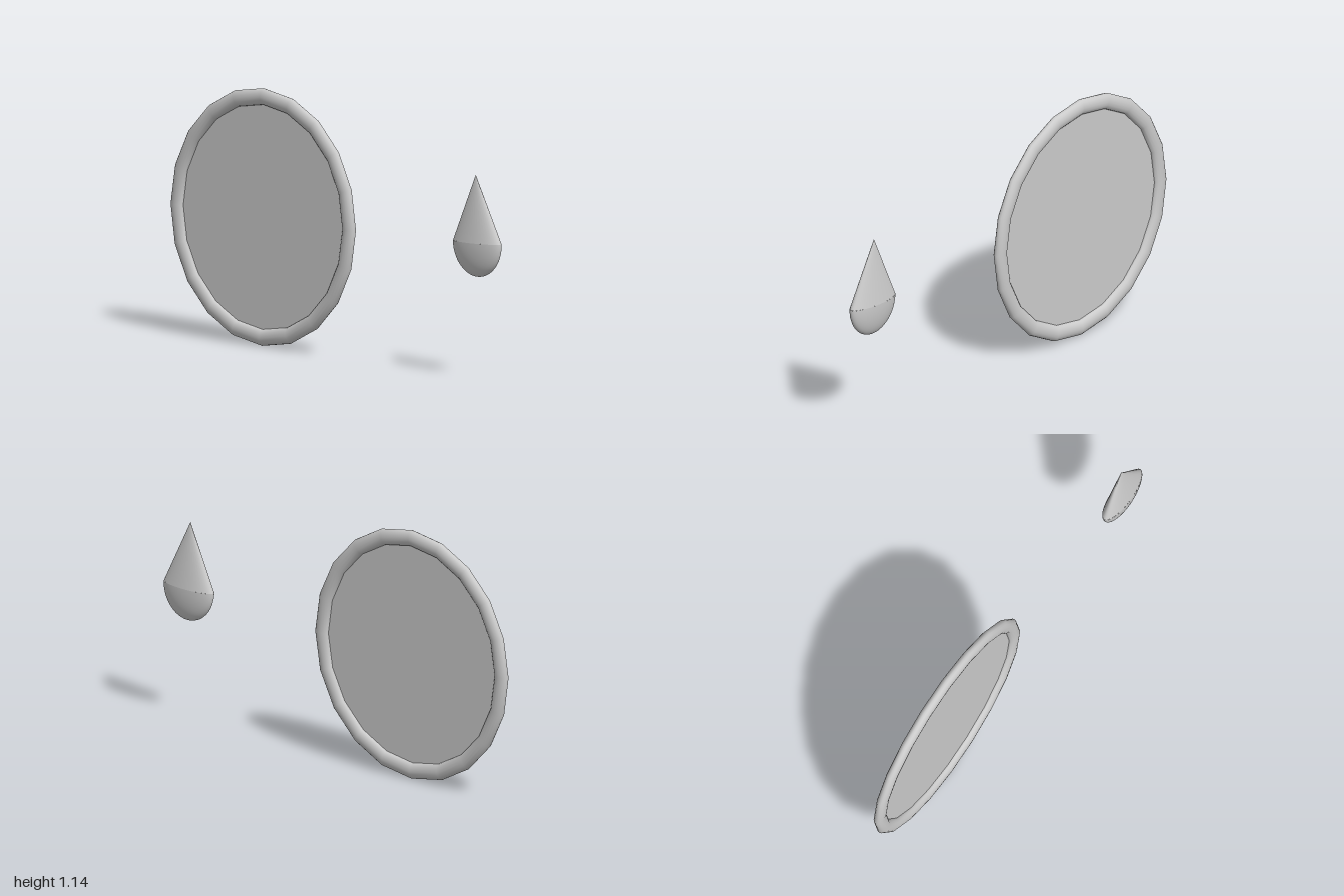
import * as THREE from 'three';

const grey = new THREE.MeshStandardMaterial({ color: 0xcccccc });
const greyThin = new THREE.MeshStandardMaterial({ color: 0xcccccc, side: THREE.DoubleSide });

function part(name, geometry, material, parent) {
  const mesh = new THREE.Mesh(geometry, material);
  mesh.name = name;
  parent.add(mesh);
  return mesh;
}

// Round lens: a 20-sided rim, slightly taller than wide, with a flat pane
function createLens() {
  const lens = new THREE.Group();
  lens.name = 'lens';
  const rim = new THREE.TorusGeometry(0.515, 0.035, 16, 20);
  part('rim', rim.scale(1, 1.034, 0.66), grey, lens);
  const pane = new THREE.CircleGeometry(0.505, 20);
  part('pane', pane.scale(1, 1.034, 1), greyThin, lens);
  lens.position.set(-0.45, 0.57, -0.023);
  lens.rotation.x = -0.007;
  return lens;
}

// Flattened teardrop: a cone over a rounded bowl, with a soft edge between
function createTeardrop() {
  const drop = new THREE.Group();
  drop.name = 'teardrop';
  const tip = new THREE.ConeGeometry(0.139, 0.297, 40, 1, true);
  part('tip', tip.translate(0, 0.1485, 0).scale(1, 1, 0.32), greyThin, drop);
  const bowl = new THREE.SphereGeometry(0.14, 40, 16, 0, Math.PI * 2, Math.PI / 2, Math.PI / 2);
  part('bowl', bowl.scale(1, 1.09, 0.32), greyThin, drop);
  drop.position.set(0.858, 0.608, 0.006);
  drop.rotation.z = 0.03;
  return drop;
}

export function createModel() {
  const model = new THREE.Group();
  model.name = 'monocle';
  model.add(createLens(), createTeardrop());
  return model;
}
